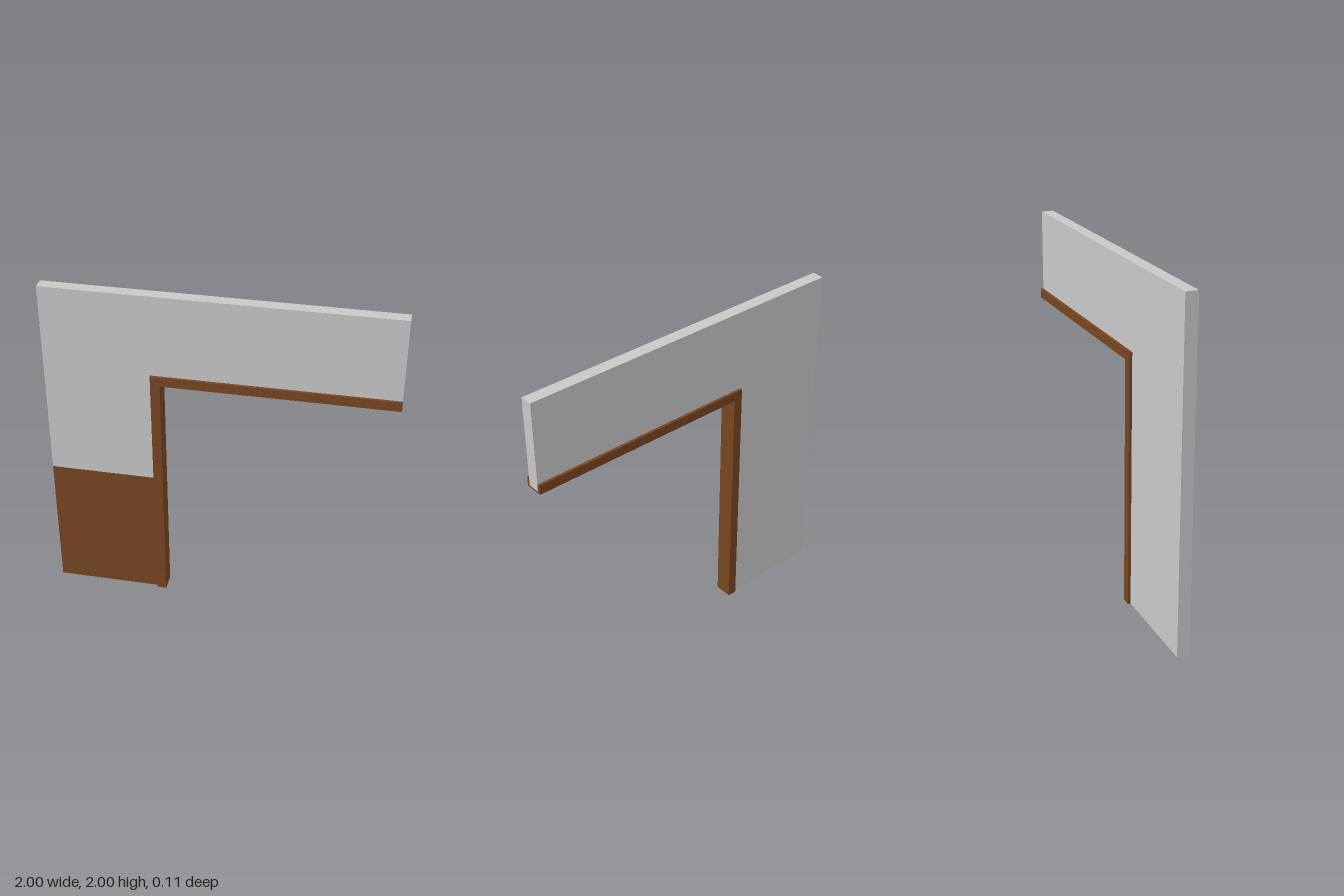
import * as THREE from 'three';

export function createModel() {
  const model = new THREE.Group();
  const plaster = new THREE.MeshStandardMaterial({ color: 0xc8c8c8 });
  plaster.name = 'grey plaster';
  const wood = new THREE.MeshStandardMaterial({ color: 0x774521 });
  wood.name = 'brown wood';

  const wallHalf = 0.036, frameHalf = 0.053;
  const frameLeft = -0.385, frameRight = -0.33; // jamb, outer and inner edge
  const frameTop = 1.515, frameBottom = 1.46; // lintel, upper and lower edge
  const lip = 0.01; // thickness of the channel floor that caps the wall edge
  const wallEdge = frameRight - lip, wallUnder = frameBottom + lip;
  const panelTop = 0.82;

  const add = (name, geometry, material) => {
    const mesh = new THREE.Mesh(geometry, material);
    mesh.name = name;
    model.add(mesh);
  };
  const box = (x0, x1, y0, y1, halfDepth) =>
    new THREE.BoxGeometry(x1 - x0, y1 - y0, halfDepth * 2)
      .translate((x0 + x1) / 2, (y0 + y1) / 2, 0);
  const plate = (points, z0, z1) =>
    new THREE.ExtrudeGeometry(new THREE.Shape(points.map(p => new THREE.Vector2(...p))),
      { depth: z1 - z0, bevelEnabled: false }).translate(0, 0, z0);

  // Wall above the panel, bent around the doorway
  add('upperWall', plate([[-1, panelTop], [wallEdge, panelTop], [wallEdge, wallUnder],
    [1, wallUnder], [1, 2], [-1, 2]], -wallHalf, wallHalf), plaster);

  // Lower wall: wooden front panel and underside, plaster elsewhere
  add('lowerWall', box(-1, wallEdge, 0, panelTop, wallHalf),
    [plaster, plaster, plaster, wood, wood, plaster]);

  // Door frame: channel floor along the wall edges
  add('jamb', box(wallEdge, frameRight, 0, frameBottom, frameHalf), wood);
  add('lintel', box(wallEdge, 1, frameBottom, wallUnder, frameHalf), wood);

  // Door frame: raised trim on both faces of the wall
  const trim = [[frameLeft, 0], [frameRight, 0], [frameRight, frameBottom],
    [1, frameBottom], [1, frameTop], [frameLeft, frameTop]];
  add('frontTrim', plate(trim, wallHalf, frameHalf), wood);
  add('backTrim', plate(trim, -frameHalf, -wallHalf), wood);

  return model;
}
